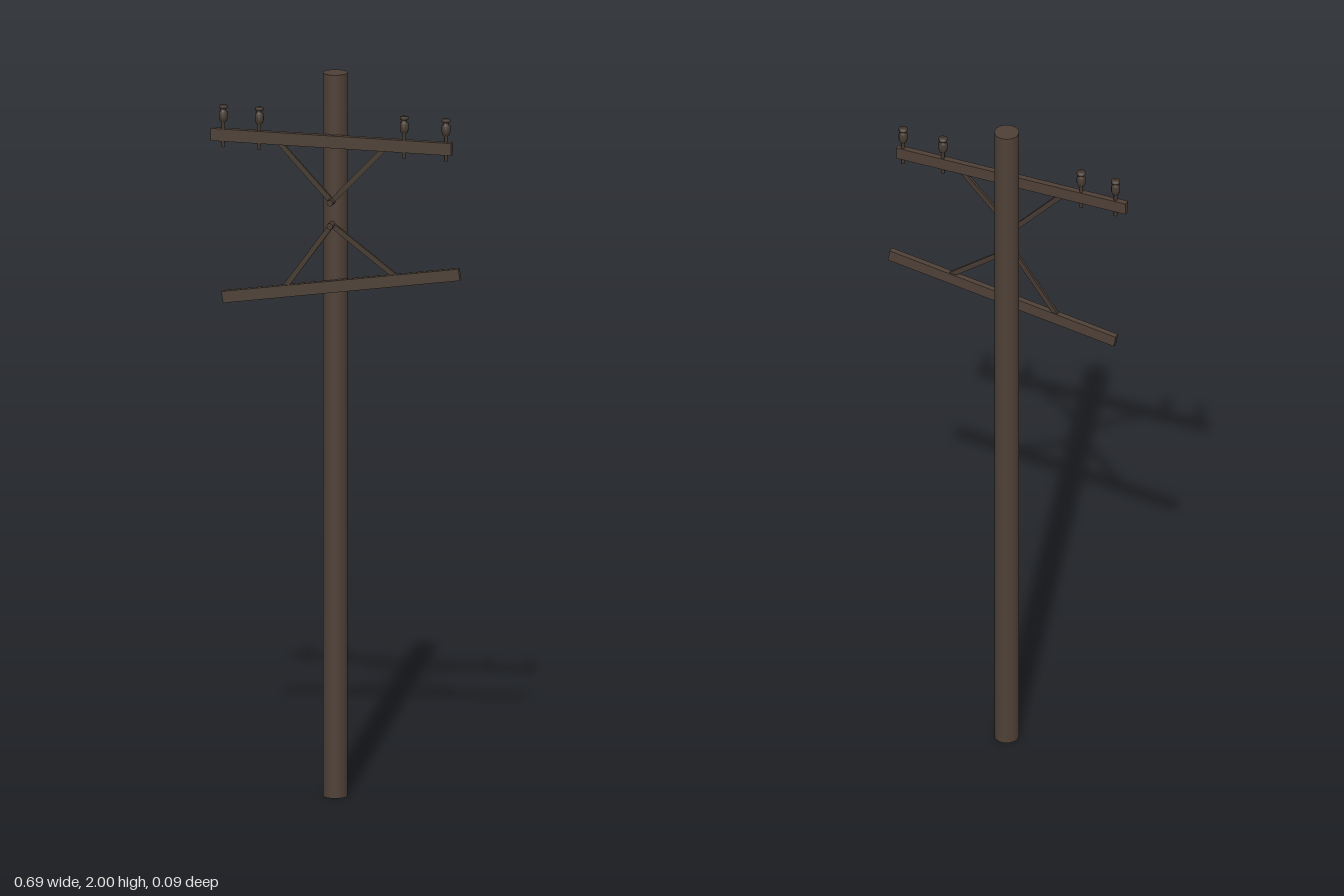
import * as THREE from 'three';

export function createModel() {
  const model = new THREE.Group();
  const wood = new THREE.MeshStandardMaterial({ color: 0x4e4036 });
  wood.name = 'weathered wood';
  const metal = new THREE.MeshStandardMaterial({ color: 0x463a31 });
  metal.name = 'dark metal';

  const POLE_X = -0.013, ARM_Z = 0.023;

  function add(name, geometry, material, x, y, z) {
    const mesh = new THREE.Mesh(geometry, material);
    mesh.name = name;
    mesh.position.set(x, y, z);
    model.add(mesh);
    return mesh;
  }

  // Rectangular bar running between two points in the plane of the arms
  function bar(name, a, b, height, depth, material) {
    const dx = b[0] - a[0], dy = b[1] - a[1];
    const mesh = add(name, new THREE.BoxGeometry(Math.hypot(dx, dy), height, depth),
      material, (a[0] + b[0]) / 2, (a[1] + b[1]) / 2, ARM_Z);
    mesh.rotation.z = Math.atan2(dy, dx);
  }

  // Pole
  add('pole', new THREE.CylinderGeometry(0.033, 0.033, 2, 24), wood, POLE_X, 1, -0.014);

  // Level upper arm and slipped lower arm
  bar('upperArm', [-0.347, 1.818], [0.32, 1.818], 0.034, 0.016, wood);
  bar('lowerArm', [-0.315, 1.37], [0.342, 1.473], 0.032, 0.016, wood);

  // Braces from each arm to its bolt on the pole
  const braces = [
    { hub: [POLE_X, 1.652], ends: [[-0.166, 1.815], [0.14, 1.815]] },
    { hub: [POLE_X, 1.588], ends: [[-0.146, 1.403], [0.172, 1.45]] },
  ];
  for (const { hub, ends } of braces) {
    for (const end of ends) bar('brace', hub, end, 0.014, 0.008, metal);
    const bolt = add('bolt', new THREE.CylinderGeometry(0.009, 0.009, 0.032, 8),
      metal, hub[0], hub[1], 0.029);
    bolt.rotation.x = Math.PI / 2;
  }

  // Insulators: pin through the arm, bell, neck and cap
  const profile = [
    [0, -0.034], [0.005, -0.034], [0.005, 0.034], [0.009, 0.038], [0.012, 0.046],
    [0.012, 0.064], [0.007, 0.066], [0.007, 0.073], [0.012, 0.074], [0.012, 0.081], [0, 0.082],
  ].map(([r, y]) => new THREE.Vector2(r, y));
  const insulator = new THREE.LatheGeometry(profile, 10);
  for (const x of [-0.314, -0.214, 0.188, 0.304]) {
    add('insulator', insulator, metal, x, 1.818, ARM_Z);
  }

  return model;
}
